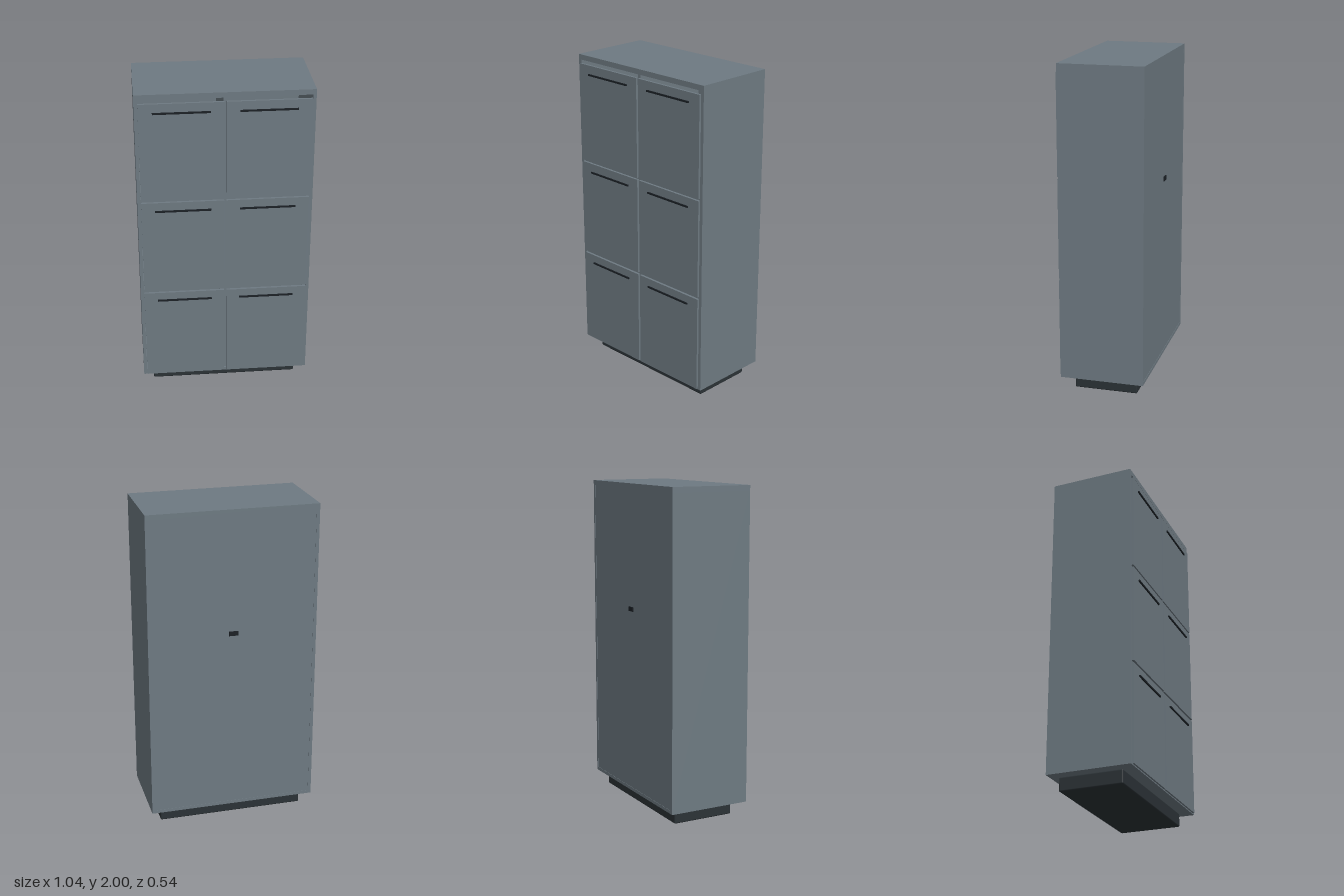
import * as THREE from 'three';
import { RoundedBoxGeometry } from 'three/addons/geometries/RoundedBoxGeometry.js';

const steel = new THREE.MeshStandardMaterial({ color: 0x6e7a82 });
const dark = new THREE.MeshStandardMaterial({ color: 0x2b3236 });
const black = new THREE.MeshStandardMaterial({ color: 0x1b2025 });

// Box given by its lower and upper limits on each axis
function addBox(parent, name, material, [x0, x1], [y0, y1], [z0, z1], radius = 0) {
  const size = [x1 - x0, y1 - y0, z1 - z0];
  const geometry = radius ? new RoundedBoxGeometry(...size, 2, radius) : new THREE.BoxGeometry(...size);
  const mesh = new THREE.Mesh(geometry, material);
  mesh.name = name;
  mesh.position.set((x0 + x1) / 2, (y0 + y1) / 2, (z0 + z1) / 2);
  parent.add(mesh);
  return mesh;
}

export function createModel() {
  const cabinet = new THREE.Group();
  cabinet.name = 'lockerCabinet';

  const W = 0.52, inner = 0.5;
  const bottom = 0.085, top = 2, front = 0.249, back = -0.265;

  // Recessed plinth
  addBox(cabinet, 'plinth', dark, [-0.457, 0.457], [0, bottom], [-0.213, 0.177], 0.008);

  // Hollow carcass
  const carcass = new THREE.Group();
  carcass.name = 'carcass';
  cabinet.add(carcass);
  addBox(carcass, 'topPanel', steel, [-W, W], [1.968, top], [back, front]);
  addBox(carcass, 'bottomPanel', steel, [-inner, inner], [bottom, bottom + 0.02], [back, front]);
  addBox(carcass, 'backPanel', steel, [-inner, inner], [bottom + 0.02, 1.968], [back + 0.002, back + 0.015]);
  for (const [side, s] of [['left', 1], ['right', -1]]) {
    addBox(carcass, side + 'Panel', steel, s > 0 ? [inner, W] : [-W, -inner], [bottom, 1.968], [back, front]);
  }
  addBox(carcass, 'divider', steel, [-0.01, 0.01], [0.105, 1.968], [-0.25, 0.24]);
  for (const y of [0.705, 1.327]) {
    for (const s of [-1, 1]) {
      addBox(carcass, 'shelf', steel, s > 0 ? [0.01, inner] : [-inner, -0.01], [y - 0.01, y + 0.01], [-0.25, 0.24]);
    }
  }

  // Six doors, each with a slim bar handle
  const rows = [[0.092, 0.698, 0.645], [0.712, 1.321, 1.265], [1.333, 1.947, 1.89]];
  rows.forEach(([y0, y1, handleY]) => {
    for (const s of [-1, 1]) {
      const locker = new THREE.Group();
      locker.name = s > 0 ? 'leftDoor' : 'rightDoor';
      cabinet.add(locker);
      addBox(locker, 'doorPanel', steel, s > 0 ? [0.007, 0.498] : [-0.498, -0.007], [y0, y1], [0.245, 0.26]);
      addBox(locker, 'handle', black, s > 0 ? [0.085, 0.418] : [-0.418, -0.085],
        [handleY - 0.005, handleY + 0.005], [0.258, 0.268]);
    }
  });

  // Small cable outlet on the back
  addBox(cabinet, 'cableOutlet', black, [-0.028, 0.028], [1.227, 1.254], [-0.27, -0.255]);

  return cabinet;
}
